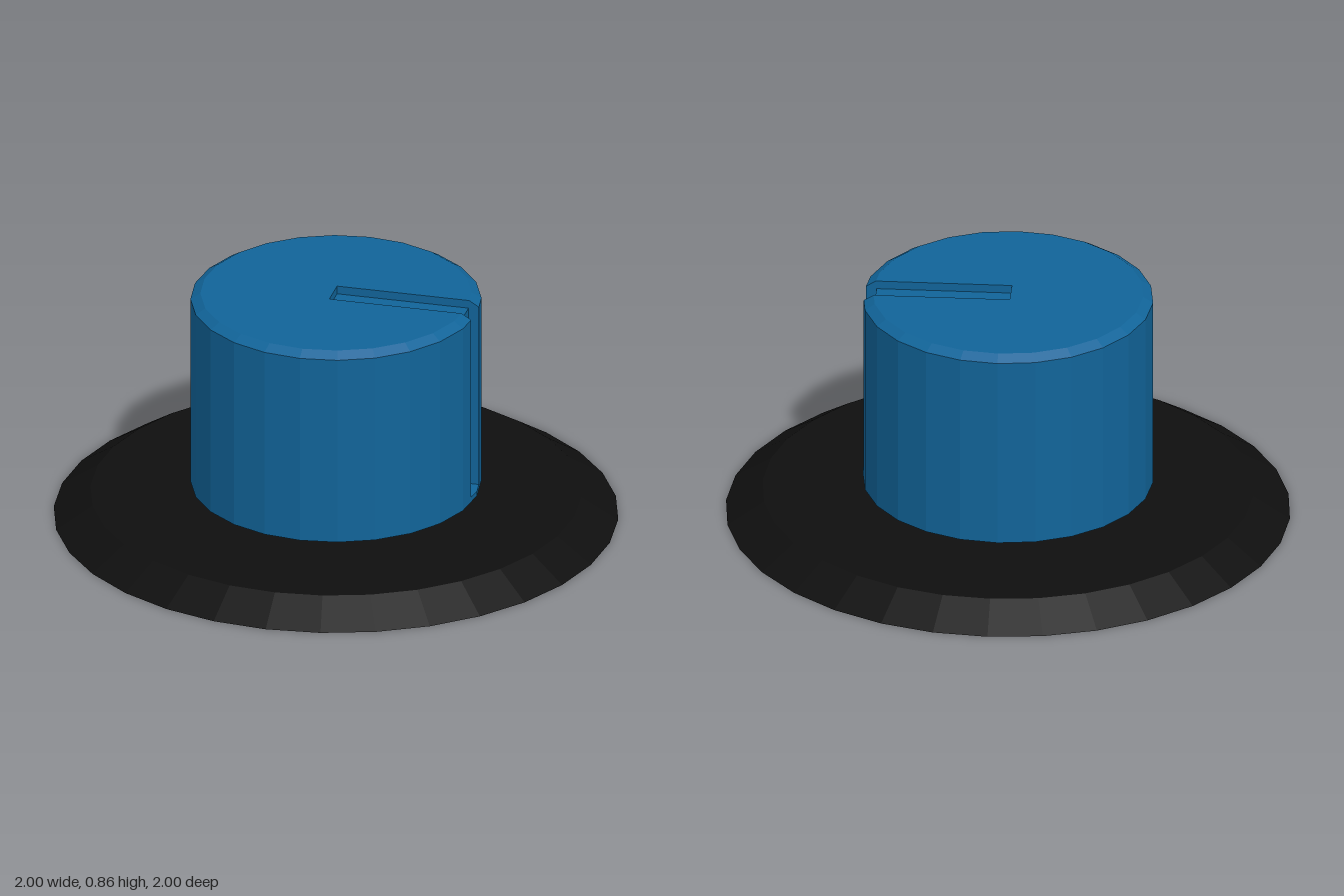
import * as THREE from 'three';

const blue = new THREE.MeshStandardMaterial({ color: 0x116499, flatShading: true });
const black = new THREE.MeshStandardMaterial({ color: 0x0f0f0f, flatShading: true });

const SIDES = 24;
const SLOT_HALF = 0.055;

function addMesh(parent, name, geometry, material) {
  const mesh = new THREE.Mesh(geometry, material);
  mesh.name = name;
  parent.add(mesh);
  return mesh;
}

// Cylinder or cone slice standing between two heights
function disc(parent, name, rTop, rBottom, y0, y1, sides, material) {
  const geometry = new THREE.CylinderGeometry(rTop, rBottom, y1 - y0, sides);
  addMesh(parent, name, geometry, material).position.y = (y0 + y1) / 2;
}

// Round outline, counter-clockwise from above, with a slot cut in from +x to x = floor
function slottedOutline(radius, floor) {
  const points = [];
  for (let i = 1; i < SIDES; i++) {
    const a = (i / SIDES) * Math.PI * 2;
    points.push(new THREE.Vector2(radius * Math.cos(a), radius * Math.sin(a)));
  }
  const mouth = radius - SLOT_HALF * Math.tan(Math.PI / SIDES);
  points.push(
    new THREE.Vector2(mouth, -SLOT_HALF),
    new THREE.Vector2(floor, -SLOT_HALF),
    new THREE.Vector2(floor, SLOT_HALF),
    new THREE.Vector2(mouth, SLOT_HALF)
  );
  return points;
}

// Side walls joining two outlines
function walls(lower, y0, upper, y1) {
  const positions = [];
  lower.forEach((a, i) => {
    const j = (i + 1) % lower.length;
    const b = lower[j], c = upper[j], d = upper[i];
    positions.push(a.x, y0, -a.y, b.x, y0, -b.y, c.x, y1, -c.y);
    positions.push(a.x, y0, -a.y, c.x, y1, -c.y, d.x, y1, -d.y);
  });
  const geometry = new THREE.BufferGeometry();
  geometry.setAttribute('position', new THREE.Float32BufferAttribute(positions, 3));
  geometry.computeVertexNormals();
  return geometry;
}

// Flat upward-facing cap
function cap(outline, y) {
  return new THREE.ShapeGeometry(new THREE.Shape(outline)).rotateX(-Math.PI / 2).translate(0, y, 0);
}

export function createModel() {
  const model = new THREE.Group();
  model.name = 'rotaryKnob';

  // Bevelled base plate and short shaft
  disc(model, 'basePlate', 0.87, 1, 0, 0.085, 32, black);
  disc(model, 'shaft', 0.28, 0.28, 0.08, 0.135, 32, black);

  const knob = new THREE.Group();
  knob.name = 'knob';
  model.add(knob);

  // Solid bottom rim, which closes the side groove
  disc(knob, 'knobRim', 0.515, 0.515, 0.127, 0.145, SIDES, blue);

  // Body with the shallow side groove
  const body = slottedOutline(0.515, 0.47);
  addMesh(knob, 'knobBody', walls(body, 0.145, body, 0.83), blue);
  addMesh(knob, 'pointerSlotFloor', cap(body, 0.83), blue);

  // Top layer with the pointer slot running from the centre to the edge
  const top = slottedOutline(0.515, -0.01);
  const topEdge = slottedOutline(0.48, -0.01);
  addMesh(knob, 'knobTopBand', walls(top, 0.83, top, 0.838), blue);
  addMesh(knob, 'knobChamfer', walls(top, 0.838, topEdge, 0.86), blue);
  addMesh(knob, 'knobTop', cap(topEdge, 0.86), blue);

  return model;
}
